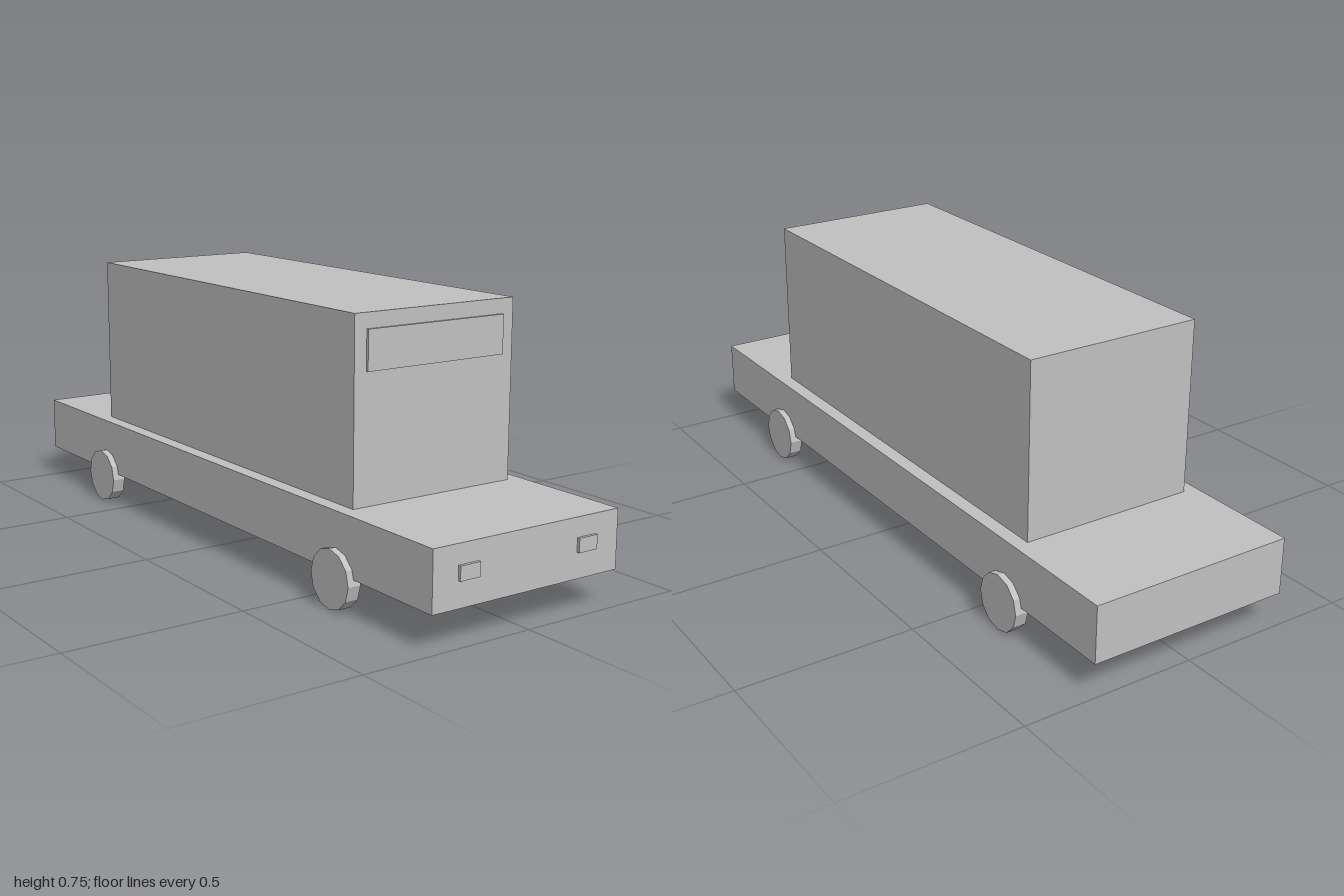
import * as THREE from 'three';

export function createModel() {
  const model = new THREE.Group();
  const grey = new THREE.MeshStandardMaterial({ color: 0xc0c0c0 });
  grey.name = 'light grey';
  grey.flatShading = true;

  // Box given by its lower and upper limits on each axis
  const addBox = (name, [x0, x1], [y0, y1], [z0, z1]) => {
    const mesh = new THREE.Mesh(new THREE.BoxGeometry(x1 - x0, y1 - y0, z1 - z0), grey);
    mesh.position.set((x0 + x1) / 2, (y0 + y1) / 2, (z0 + z1) / 2);
    mesh.name = name;
    model.add(mesh);
  };

  // Low body and tall cabin
  addBox('body', [-0.298, 0.298], [0.095, 0.255], [-1, 0.992]);
  addBox('cabin', [-0.257, 0.257], [0.255, 0.747], [-0.663, 0.631]);

  // Thin plates on the front faces
  addBox('windshield', [-0.22, 0.22], [0.6, 0.706], [0.63, 0.638]);
  addBox('leftHeadlight', [0.16, 0.221], [0.164, 0.202], [0.991, 1]);
  addBox('rightHeadlight', [-0.221, -0.16], [0.164, 0.202], [0.991, 1]);

  // Four twelve-sided wheels, axles along x
  const wheelGeometry = new THREE.CylinderGeometry(0.08, 0.08, 0.038, 12).rotateZ(Math.PI / 2);
  for (const [end, z] of [['front', 0.614], ['back', -0.621]]) {
    for (const [side, x] of [['Left', 0.298], ['Right', -0.298]]) {
      const wheel = new THREE.Mesh(wheelGeometry, grey);
      wheel.position.set(x, 0.08, z);
      wheel.name = `${end}${side}Wheel`;
      model.add(wheel);
    }
  }
  return model;
}
